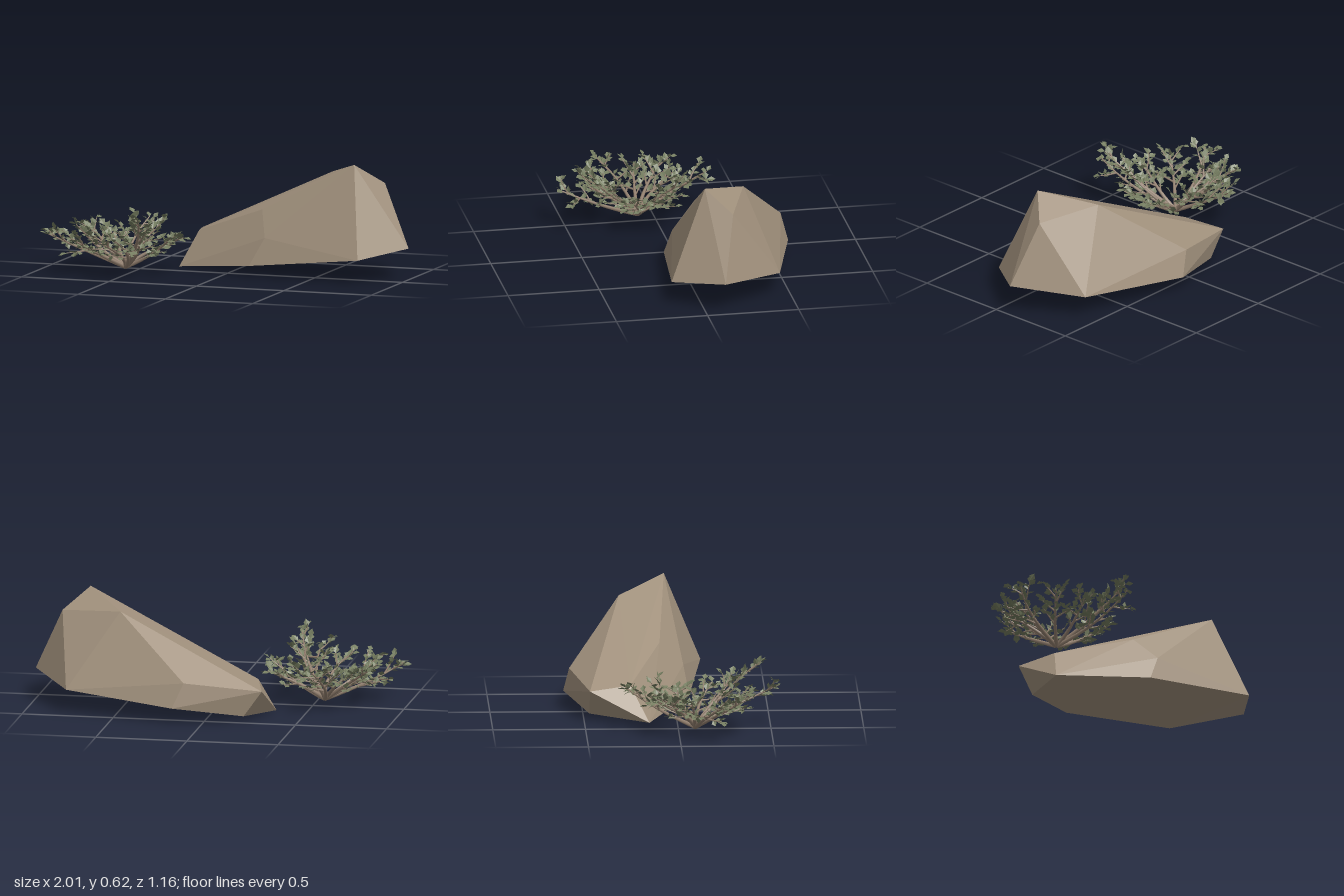
import * as THREE from 'three';
import { mergeGeometries } from 'three/addons/utils/BufferGeometryUtils.js';
import { ConvexGeometry } from 'three/addons/geometries/ConvexGeometry.js';

const V = (x, y, z) => new THREE.Vector3(x, y, z);

// Small seeded generator, returns -1..1
let seed = 7;
function rnd() {
  seed = (seed * 16807) % 2147483647;
  return (seed / 2147483647) * 2 - 1;
}

// Tube along a curve, thinning towards its tip
function taperedTube(curve, r0, r1, segments, sides) {
  const g = new THREE.TubeGeometry(curve, segments, 1, sides);
  const p = g.attributes.position;
  for (let i = 0; i <= segments; i++) {
    const c = curve.getPointAt(i / segments);
    const r = THREE.MathUtils.lerp(r0, r1, i / segments);
    for (let j = 0; j <= sides; j++) {
      const k = i * (sides + 1) + j;
      const v = V(0, 0, 0).fromBufferAttribute(p, k).sub(c).multiplyScalar(r).add(c);
      p.setXYZ(k, v.x, v.y, v.z);
    }
  }
  return g;
}

// Kite-shaped leaf folded along its middle, growing from p along dir
function leaf(p, dir, length) {
  const d = dir.clone().normalize();
  const up = V(rnd() * 0.5, 1, rnd() * 0.5);
  const side = d.clone().cross(up).normalize();
  const n = side.clone().cross(d);
  const at = (a, s, h) => p.clone().addScaledVector(d, a * length)
    .addScaledVector(side, s * length).addScaledVector(n, h * length);
  const base = at(0, 0, 0), tip = at(1, 0, 0);
  const l = at(0.5, -0.4, 0.08), r = at(0.5, 0.4, 0.08);
  const g = new THREE.BufferGeometry().setFromPoints([base, tip, l, base, r, tip]);
  g.computeVertexNormals();
  return g;
}

function createBush(wood, foliage) {
  const root = V(-0.55, 0.02, 0.09);
  // Tips of the main branches
  const tips = [
    [-0.95, 0.205, 0.24], [-0.82, 0.22, -0.09], [-0.7, 0.19, -0.13],
    [-0.55, 0.24, -0.29], [-0.45, 0.2, -0.11], [-0.25, 0.18, 0.0],
    [-0.26, 0.21, 0.19], [-0.36, 0.33, 0.43], [-0.45, 0.23, 0.55],
    [-0.61, 0.19, 0.38], [-0.78, 0.2, 0.34], [-0.82, 0.21, 0.06], [-0.4, 0.25, 0.3],
  ];
  const stems = [], leaves = [];

  const leafy = (curve, from, count) => {
    for (let i = 0; i < count; i++) {
      const t = THREE.MathUtils.lerp(from, 1, i / (count - 1));
      const d = curve.getTangentAt(t).add(V(rnd() * 1.1, rnd() * 0.6, rnd() * 1.1));
      leaves.push(leaf(curve.getPointAt(t), d, 0.042 + rnd() * 0.007));
    }
  };

  for (const tip of tips) {
    const end = V(...tip);
    const mid = root.clone().lerp(end, 0.5).add(V(rnd() * 0.08, rnd() * 0.015, rnd() * 0.08));
    const main = new THREE.QuadraticBezierCurve3(root, mid, end);
    stems.push(taperedTube(main, 0.013, 0.003, 8, 6));
    leafy(main, 0.6, 10);

    // Side twigs alternate left and right, some sagging, some rising
    [0.38, 0.5, 0.62, 0.74, 0.86].forEach((t, i) => {
      const start = main.getPointAt(t);
      const angle = (i % 2 ? 1 : -1) * (0.8 + rnd() * 0.35);
      const dir = main.getTangentAt(t).applyAxisAngle(V(0, 1, 0), angle);
      dir.y *= 0.5;
      const length = 0.165 * (1.1 - 0.65 * t) * (1 + rnd() * 0.25);
      const stop = start.clone().addScaledVector(dir, length);
      stop.y += 0.018 + rnd() * 0.05;
      const bend = start.clone().lerp(stop, 0.5).add(V(rnd() * 0.015, -0.005, rnd() * 0.015));
      const twig = new THREE.QuadraticBezierCurve3(start, bend, stop);
      stems.push(taperedTube(twig, 0.006, 0.002, 3, 5));
      leafy(twig, 0.3, 8);
    });
  }

  const bush = new THREE.Group();
  bush.name = 'bush';
  const branches = new THREE.Mesh(mergeGeometries(stems), wood);
  branches.name = 'branches';
  const foliageMesh = new THREE.Mesh(mergeGeometries(leaves), foliage);
  foliageMesh.name = 'leaves';
  bush.add(branches, foliageMesh);
  return bush;
}

function createRock(stone) {
  const corners = [
    // underside rim
    [-0.33, 0, -0.15], [-0.21, 0.03, -0.47], [0.16, 0.085, -0.6], [0.77, 0.13, -0.44],
    [1, 0.17, -0.1], [0.8, 0.13, 0.16], [0.15, 0.058, 0.08],
    // low end and flanks
    [-0.31, 0.17, -0.47], [-0.25, 0.19, -0.25], [0.1, 0.22, -0.57],
    [0.17, 0.345, -0.08], [0.23, 0.21, 0.05],
    // crest
    [0.5, 0.54, -0.29], [0.71, 0.62, -0.04], [0.84, 0.51, -0.17],
  ];
  const rock = new THREE.Mesh(new ConvexGeometry(corners.map((c) => V(...c))), stone);
  rock.name = 'rock';
  return rock;
}

export function createModel() {
  seed = 7;
  const stone = new THREE.MeshStandardMaterial({ color: 0xa0907c });
  stone.name = 'stone';
  const wood = new THREE.MeshStandardMaterial({ color: 0x93806f });
  wood.name = 'wood';
  const foliage = new THREE.MeshStandardMaterial({ color: 0x757d60, side: THREE.DoubleSide });
  foliage.name = 'foliage';

  const model = new THREE.Group();
  model.name = 'rockAndBush';
  model.add(createRock(stone), createBush(wood, foliage));
  return model;
}
